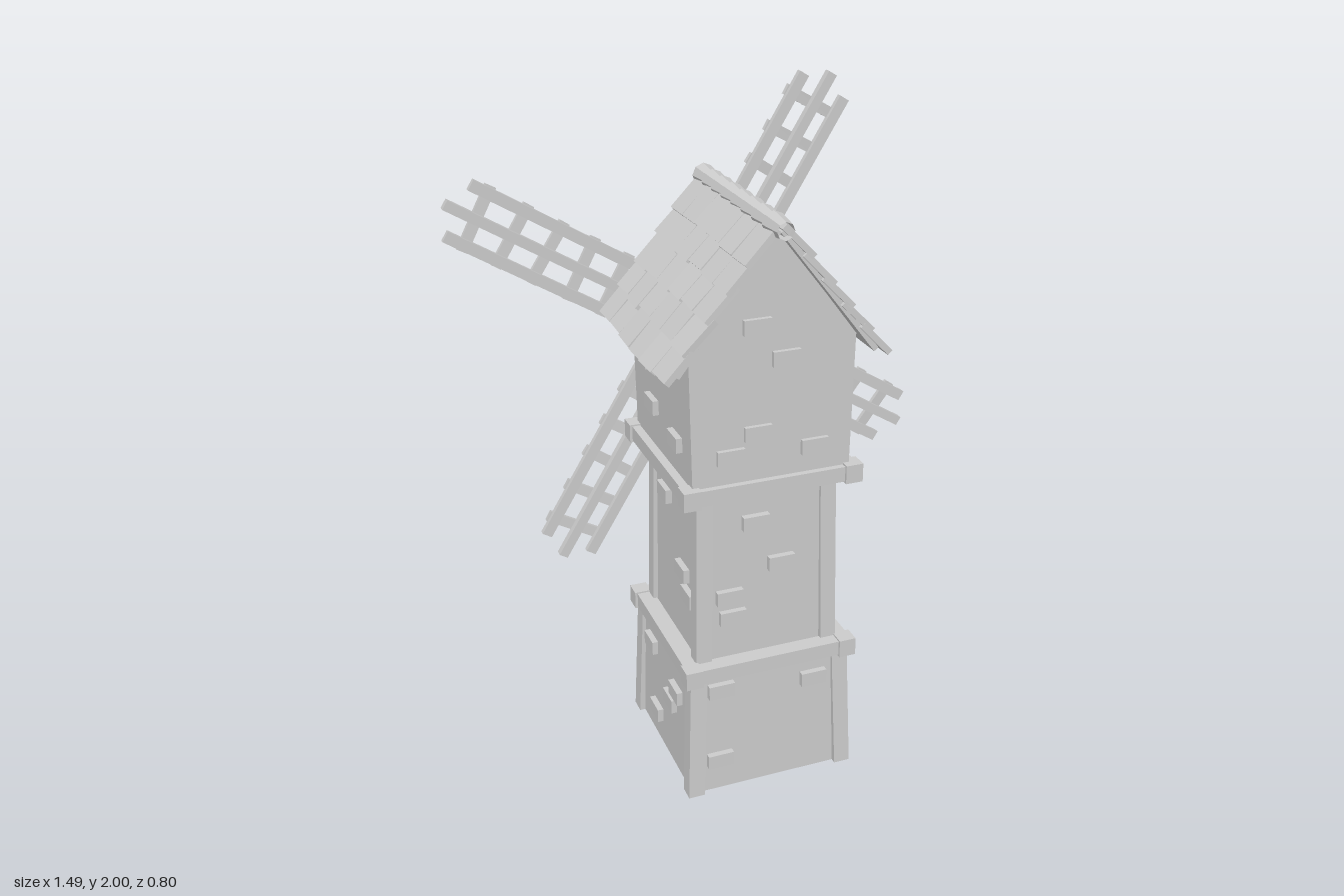
import * as THREE from 'three';

const mat = new THREE.MeshStandardMaterial({ color: 0xcccccc, flatShading: true });
const thin = new THREE.MeshStandardMaterial({ color: 0xcccccc, flatShading: true, side: THREE.DoubleSide });
const CZ = 0.09; // tower axis in z

let seed = 7;
const jitter = (a) => {
  seed = (seed * 16807) % 2147483647;
  return (seed / 2147483647 - 0.5) * 2 * a;
};

function add(parent, name, geo, x = 0, y = 0, z = 0, material = mat) {
  const m = new THREE.Mesh(geo, material);
  m.name = name;
  m.position.set(x, y, z);
  parent.add(m);
  return m;
}

const box = (w, h, d) => new THREE.BoxGeometry(w, h, d);

// Square block standing on y = 0 whose half width goes from a (bottom) to b (top)
function taperedBlock(a, b, h) {
  const g = box(2, h, 2).translate(0, h / 2, 0);
  const p = g.attributes.position;
  for (let i = 0; i < p.count; i++) {
    const k = p.getY(i) > h / 2 ? b : a;
    p.setX(i, p.getX(i) * k);
    p.setZ(i, p.getZ(i) * k);
  }
  return g;
}

// Four corner posts leaning inwards, outer faces from half width a to b
function cornerPosts(parent, name, a, b, y0, h, w) {
  for (const sx of [-1, 1]) for (const sz of [-1, 1]) {
    const g = box(w, h, w).translate(0, h / 2, 0);
    const p = g.attributes.position;
    for (let i = 0; i < p.count; i++) {
      const off = (p.getY(i) > h / 2 ? b : a) - w / 2;
      p.setX(i, p.getX(i) + sx * off);
      p.setZ(i, p.getZ(i) + sz * off);
    }
    add(parent, name, g, 0, y0, 0);
  }
}

function buildTower(root) {
  const tower = new THREE.Group();
  tower.name = 'tower';
  tower.position.z = CZ;
  root.add(tower);
  // Base storey
  add(tower, 'baseWall', taperedBlock(0.247, 0.24, 0.4));
  cornerPosts(tower, 'basePost', 0.265, 0.25, 0, 0.4, 0.05);
  // Middle storey
  add(tower, 'middleWall', taperedBlock(0.207, 0.202, 0.56), 0, 0.43);
  cornerPosts(tower, 'middlePost', 0.222, 0.212, 0.44, 0.55, 0.048);
  // Top storey with gables
  const s = new THREE.Shape([[-0.235, 1], [0.235, 1], [0.243, 1.42], [0, 1.745], [-0.243, 1.42]]
    .map(([x, y]) => new THREE.Vector2(x, y)));
  add(tower, 'topStorey', new THREE.ExtrudeGeometry(s, { depth: 0.486, bevelEnabled: false }), 0, 0, -0.243);
  // Beam ledges: solid floor, four beams and corner blocks
  for (const y of [0.42, 1.003]) {
    const ledge = new THREE.Group();
    ledge.name = 'ledge';
    ledge.position.y = y;
    tower.add(ledge);
    add(ledge, 'ledgeFloor', box(0.49, 0.036, 0.49));
    for (let i = 0; i < 4; i++) {
      const side = new THREE.Group();
      side.name = 'ledgeSide';
      side.rotation.y = i * Math.PI / 2;
      ledge.add(side);
      add(side, 'ledgeBeam', box(0.5, 0.046, 0.05), 0, 0, 0.236);
      add(side, 'ledgeCorner', box(0.052, 0.056, 0.052), 0.243, 0, 0.243);
    }
  }
}

// Raised bricks: [sideways, height] per face, sideways is x for front/back and z for left/right
function buildBricks(root) {
  const wall = (y) => (y < 0.4 ? 0.247 - y * 0.0175 : y < 1 ? 0.205 : 0.238);
  const faces = {
    front: [[-0.05, 1.48], [0.035, 1.38], [-0.045, 1.17], [-0.125, 1.11], [0.125, 1.105], [-0.035, 0.875],
      [0.045, 0.73], [-0.115, 0.645], [-0.105, 0.575], [-0.155, 0.355], [0.14, 0.33], [-0.16, 0.11]],
    back: [[0.04, 1.5], [-0.1, 1.38], [0.13, 1.12], [-0.13, 1.17], [0.08, 0.87], [-0.1, 0.79],
      [0.09, 0.6], [0.02, 0.55], [0.15, 0.33], [-0.14, 0.32], [-0.17, 0.12]],
    left: [[0.24, 1.29], [0.255, 1.19], [-0.03, 1.105], [0.205, 0.89], [0.18, 0.73], [0.015, 0.6], [-0.02, 0.545],
      [0.23, 0.34], [0.01, 0.305], [0.045, 0.245], [0.2, 0.14], [0.25, 0.085], [0.15, 0.085]],
    right: [[-0.04, 1.28], [0.22, 1.13], [0.02, 1.16], [0.02, 0.87], [0.17, 0.68], [0.22, 0.62],
      [-0.03, 0.32], [0.2, 0.28], [0.15, 0.22], [0.02, 0.1]],
  };
  for (const [face, list] of Object.entries(faces)) for (const [u, y] of list) {
    const r = wall(y) + 0.004;
    if (face === 'front') add(root, 'brick', box(0.08, 0.044, 0.028), u, y, CZ + r);
    else if (face === 'back') add(root, 'brick', box(0.08, 0.044, 0.028), u, y, CZ - r);
    else add(root, 'brick', box(0.028, 0.044, 0.08), face === 'left' ? r : -r, y, u);
  }
}

function buildDoor(root) {
  const door = new THREE.Group();
  door.name = 'door';
  door.position.set(0, 0.02, CZ - 0.245);
  root.add(door);
  // Planks of slightly uneven length
  for (let i = 0; i < 4; i++)
    add(door, 'doorPlank', box(0.031, 0.22 + jitter(0.008), 0.02), -0.0495 + i * 0.033, 0.122, -0.002);
  for (const s of [-1, 1]) add(door, 'doorJamb', box(0.022, 0.26, 0.034), s * 0.078, 0.13, -0.003);
  add(door, 'doorLintel', box(0.178, 0.024, 0.036), 0, 0.25, -0.003);
  add(door, 'doorSill', box(0.178, 0.016, 0.034), 0, 0.008, -0.003);
  for (const y of [0.065, 0.19]) add(door, 'doorStrap', box(0.125, 0.016, 0.01), 0, y, -0.015);
  add(door, 'doorKnob', new THREE.IcosahedronGeometry(0.009), -0.045, 0.135, -0.022);
}

function buildRoof(root) {
  const roof = new THREE.Group();
  roof.name = 'roof';
  roof.position.set(0, 1.745, CZ);
  root.add(roof);
  for (const s of [-1, 1]) {
    const slope = new THREE.Group();
    slope.name = 'roofSlope';
    slope.rotation.z = -s * 0.913;
    roof.add(slope);
    add(slope, 'roofBoard', box(0.46, 0.016, 0.56), s * 0.235, 0.004, 0);
    // Overlapping tiles, lower ends lifted
    for (let row = 0; row < 5; row++) for (let col = 0; col < 6; col++) {
      const t = add(slope, 'roofTile', box(0.125, 0.018, 0.095),
        s * (0.06 + row * 0.0935 + jitter(0.007)), 0.018 + jitter(0.002), -0.2425 + col * 0.097);
      t.rotation.set(jitter(0.03), jitter(0.03), s * (0.11 + jitter(0.02)));
    }
  }
  // Ridge tiles, each widening into the next
  for (let i = 0; i < 8; i++) {
    const r = add(roof, 'ridgeTile', new THREE.CylinderGeometry(0.034, 0.025, 0.082, 8, 1, true),
      0, 0.006, 0.272 - i * 0.075, thin);
    r.rotation.x = -Math.PI / 2;
  }
}

function buildSails(root) {
  const rotor = new THREE.Group();
  rotor.name = 'rotor';
  rotor.position.set(0, 1.257, 0);
  root.add(rotor);
  // Axle and flared hub: [radius, distance behind the axis origin]
  const profile = [[0, 0.12], [0.055, 0.12], [0.055, 0.245], [0.07, 0.245], [0.066, 0.3], [0.054, 0.3], [0.054, 0.335],
    [0.07, 0.335], [0.091, 0.4], [0.06, 0.4], [0.052, 0.388], [0, 0.388]].map(([r, y]) => new THREE.Vector2(r, y));
  const hub = add(rotor, 'hub', new THREE.LatheGeometry(profile, 8), 0, 0, 0, thin);
  hub.rotation.set(-Math.PI / 2, Math.PI / 8, 0);
  // Four lattice sails
  for (let i = 0; i < 4; i++) {
    const sail = new THREE.Group();
    sail.name = 'sail';
    sail.position.z = -0.32;
    sail.rotation.z = 1.02 + i * Math.PI / 2;
    rotor.add(sail);
    add(sail, 'sailSpar', box(0.83, 0.03, 0.024), 0.445, 0, 0.004);
    for (const s of [-1, 1])
      add(sail, 'sailRail', box(0.67, 0.034, 0.018), 0.482, s * 0.081, s * 0.005);
    for (let k = 0; k < 6; k++) {
      const rung = add(sail, 'sailRung', box(0.034, 0.205, 0.014), 0.165 + k * 0.118, 0, -0.012);
      rung.rotation.set(0.05, 0, jitter(0.06));
    }
  }
}

export function createModel() {
  seed = 7;
  const root = new THREE.Group();
  root.name = 'windmill';
  buildTower(root);
  buildBricks(root);
  buildDoor(root);
  buildRoof(root);
  buildSails(root);
  return root;
}
